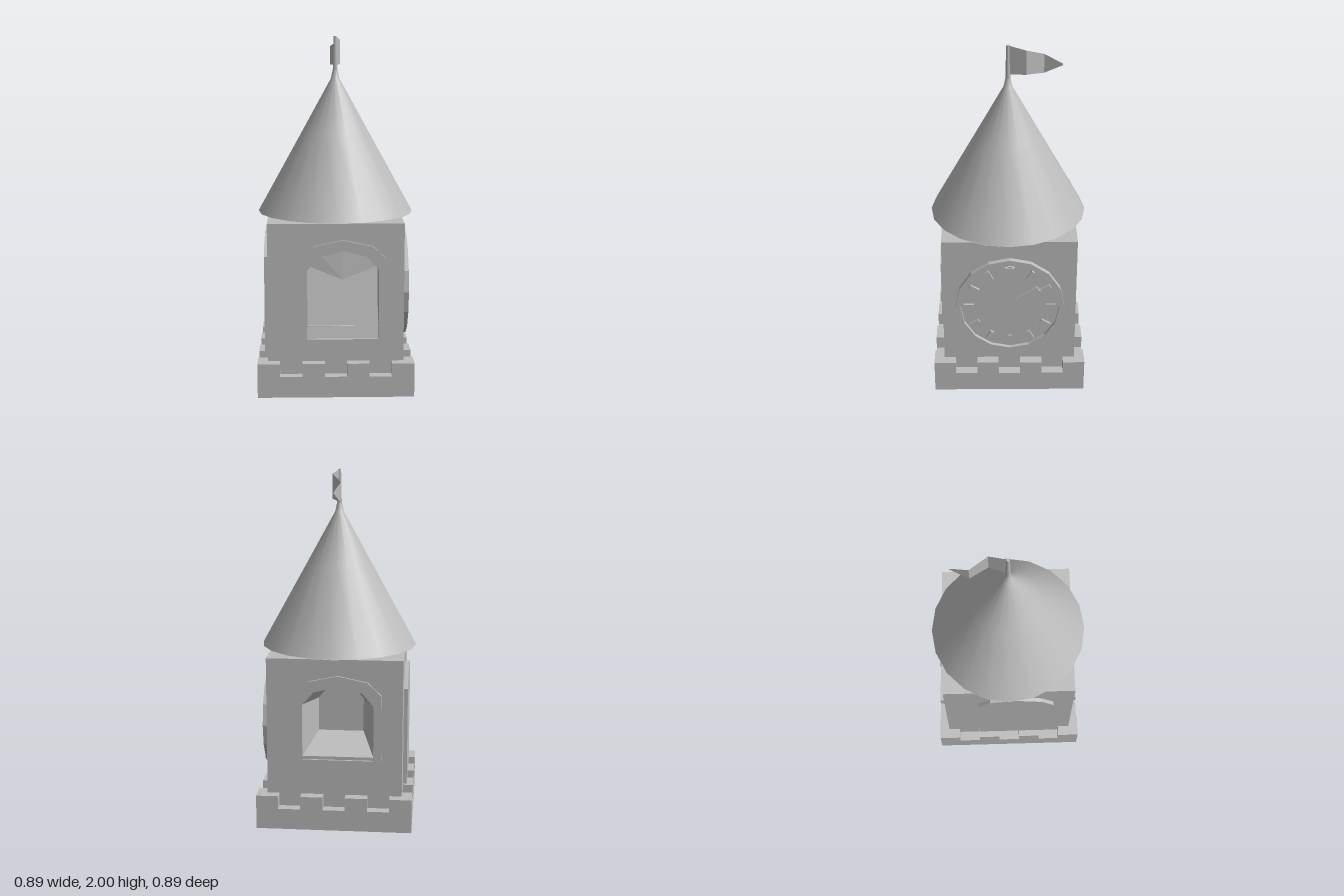
import * as THREE from 'three';

const stone = new THREE.MeshStandardMaterial({ color: 0xbcbcbc, side: THREE.DoubleSide });
stone.name = 'grey stone';

const HALF = 0.382; // half width of the tower
const OFF = -0.005; // tower and base sit slightly off the roof axis

function add(parent, name, geometry, x = 0, y = 0, z = 0) {
  const mesh = new THREE.Mesh(geometry, stone);
  mesh.name = name;
  mesh.position.set(x, y, z);
  parent.add(mesh);
  return mesh;
}

// Faceted arch outline, anticlockwise from the lower left
function archPoints(cx, w, bottom, top) {
  return [[-w, bottom], [w, bottom], [w, top - 0.11], [w * 0.68, top - 0.035],
    [0, top], [-w * 0.68, top - 0.035], [-w, top - 0.11]]
    .map(([x, y]) => new THREE.Vector2(cx + x, y));
}

// Flat-shaded niche: sides run from the outline back to a smaller copy of it, then a cap
function nicheGeometry(outline, scale, depthAt) {
  const c = outline.reduce((s, p) => s.add(p), new THREE.Vector2()).divideScalar(outline.length);
  const pos = [];
  const inner = outline.map((p) => {
    const q = p.clone().sub(c).multiplyScalar(scale).add(c);
    return [q.x, q.y, -depthAt(p.y)];
  });
  const mid = [c.x, c.y, -depthAt(c.y)];
  outline.forEach((p, i) => {
    const j = (i + 1) % outline.length;
    const a = [p.x, p.y, 0], b = [outline[j].x, outline[j].y, 0];
    pos.push(...a, ...inner[i], ...b, ...b, ...inner[i], ...inner[j]);
    pos.push(...mid, ...inner[i], ...inner[j]);
  });
  const g = new THREE.BufferGeometry();
  g.setAttribute('position', new THREE.Float32BufferAttribute(pos, 3));
  // turn the sides to face into the opening
  for (let t = 0; t < pos.length / 9; t += 3) {
    for (const k of [t, t + 1]) {
      const p = g.attributes.position, i = k * 3;
      const b = [p.getX(i + 1), p.getY(i + 1), p.getZ(i + 1)];
      p.setXYZ(i + 1, p.getX(i + 2), p.getY(i + 2), p.getZ(i + 2));
      p.setXYZ(i + 2, ...b);
    }
  }
  g.computeVertexNormals();
  return g;
}

// One tower wall, optionally pierced; its local +z points outward
function makeWall(name, turn, hole) {
  const wall = new THREE.Group();
  wall.name = name;
  wall.rotation.y = turn;
  const shape = new THREE.Shape([[-HALF, 0.1], [HALF, 0.1], [HALF, 0.98], [-HALF, 0.98]]
    .map(([x, y]) => new THREE.Vector2(x, y)));
  if (hole) shape.holes.push(new THREE.Path(hole));
  add(wall, name + 'Panel', new THREE.ShapeGeometry(shape), 0, 0, HALF);
  return wall;
}

function addTrim(wall, cx, bottom) {
  const outer = new THREE.Shape(archPoints(cx, 0.245, bottom, 0.89));
  outer.holes.push(new THREE.Path(archPoints(cx, 0.2, bottom + 0.002, 0.83)));
  add(wall, 'archTrim', new THREE.ExtrudeGeometry(outer, { depth: 0.012, bevelEnabled: false }), 0, 0, HALF);
}

function makeClock() {
  const clock = new THREE.Group();
  clock.name = 'clock';
  const face = add(clock, 'clockFace', new THREE.CylinderGeometry(0.3, 0.3, 0.016, 16));
  face.rotation.x = Math.PI / 2;
  const ring = new THREE.Shape().absarc(0, 0, 0.312, 0, Math.PI * 2);
  ring.holes.push(new THREE.Path().absarc(0, 0, 0.283, 0, Math.PI * 2));
  add(clock, 'clockRim', new THREE.ExtrudeGeometry(ring, { depth: 0.03, bevelEnabled: false, curveSegments: 8 }));
  for (let i = 0; i < 12; i++) {
    const a = (i / 12) * Math.PI * 2;
    const tick = add(clock, 'hourMark', new THREE.BoxGeometry(0.022, 0.06, 0.016),
      Math.sin(a) * 0.235, Math.cos(a) * 0.235, 0.014);
    tick.rotation.z = -a;
  }
  for (const [name, a, len, w] of [['minuteHand', 0, 0.26, 0.055], ['hourHand', 0.95, 0.2, 0.04]]) {
    const hand = add(clock, name, new THREE.BoxGeometry(w, len, 0.018),
      Math.sin(a) * len / 2, Math.cos(a) * len / 2, 0.018);
    hand.rotation.z = -a;
  }
  return clock;
}

export function createModel() {
  const model = new THREE.Group();
  model.name = 'clockTower';

  // Base with battlements
  const base = new THREE.Group();
  base.name = 'base';
  base.position.set(OFF, 0, OFF);
  model.add(base);
  add(base, 'plinth', new THREE.BoxGeometry(0.88, 0.12, 0.88), 0, 0.06, 0);
  const step = 0.88 / 7;
  for (let side = 0; side < 4; side++) {
    const row = new THREE.Group();
    row.name = 'battlementRow';
    row.rotation.y = side * Math.PI / 2;
    for (const i of [-3, -1, 1, 3]) {
      add(row, 'merlon', new THREE.BoxGeometry(step, 0.08, 0.07), i * step, 0.155, 0.405);
    }
    base.add(row);
  }

  // Tower walls
  const tower = new THREE.Group();
  tower.name = 'tower';
  tower.position.set(OFF, 0, OFF);
  model.add(tower);
  add(tower, 'towerTop', new THREE.BoxGeometry(HALF * 2, 0.01, HALF * 2), 0, 0.977, 0);

  // Front: niche sloping out to the wall at its foot
  const frontHole = archPoints(0.04, 0.2, 0.32, 0.83);
  const front = makeWall('frontWall', 0, frontHole);
  const slope = (y) => 0.004 + 0.11 * THREE.MathUtils.clamp((y - 0.32) / 0.4, 0, 1);
  add(front, 'frontNiche', nicheGeometry(frontHole, 0.99, slope), 0, 0, HALF);
  addTrim(front, 0.04, 0.4);

  // Back: deep tapered window
  const backHole = archPoints(0.02, 0.2, 0.42, 0.83);
  const back = makeWall('backWall', Math.PI, backHole);
  add(back, 'backWindow', nicheGeometry(backHole, 0.65, () => 0.22), 0, 0, HALF);
  addTrim(back, 0.02, 0.4);

  // Left: blind arched doorway
  const left = makeWall('leftWall', -Math.PI / 2);
  add(left, 'blindDoor', new THREE.ExtrudeGeometry(new THREE.Shape(archPoints(0.04, 0.225, 0.2, 0.88)),
    { depth: 0.022, bevelEnabled: false }), 0, 0, HALF);

  // Right: clock
  const right = makeWall('rightWall', Math.PI / 2);
  const clock = makeClock();
  clock.position.set(0.003, 0.57, HALF + 0.004);
  right.add(clock);
  tower.add(front, back, left, right);

  // Roof with a closed underside
  const profile = [[0.447, 0.995], [0.19, 1.46], [0.025, 1.76], [0.014, 1.81]]
    .map(([r, y]) => new THREE.Vector2(r, y));
  add(model, 'roof', new THREE.LatheGeometry(profile, 20));
  const under = add(model, 'roofUnderside', new THREE.CircleGeometry(0.447, 20), 0, 0.993, 0);
  under.rotation.x = Math.PI / 2;

  // Flagpole and waving pennant
  add(model, 'flagpole', new THREE.CylinderGeometry(0.01, 0.015, 0.23, 6), 0, 1.885, 0);
  const rows = [[0, 0.005, 2.0, 1.83], [0.03, -0.1, 1.98, 1.84], [-0.025, -0.2, 1.94, 1.83], [0.005, -0.3, 1.895, 1.885]];
  const pos = [];
  for (let i = 0; i < 3; i++) {
    const [x0, z0, t0, b0] = rows[i], [x1, z1, t1, b1] = rows[i + 1];
    pos.push(x0, b0, z0, x1, b1, z1, x1, t1, z1, x0, b0, z0, x1, t1, z1, x0, t0, z0);
  }
  const flag = new THREE.BufferGeometry();
  flag.setAttribute('position', new THREE.Float32BufferAttribute(pos, 3));
  flag.computeVertexNormals();
  add(model, 'pennant', flag);

  return model;
}
